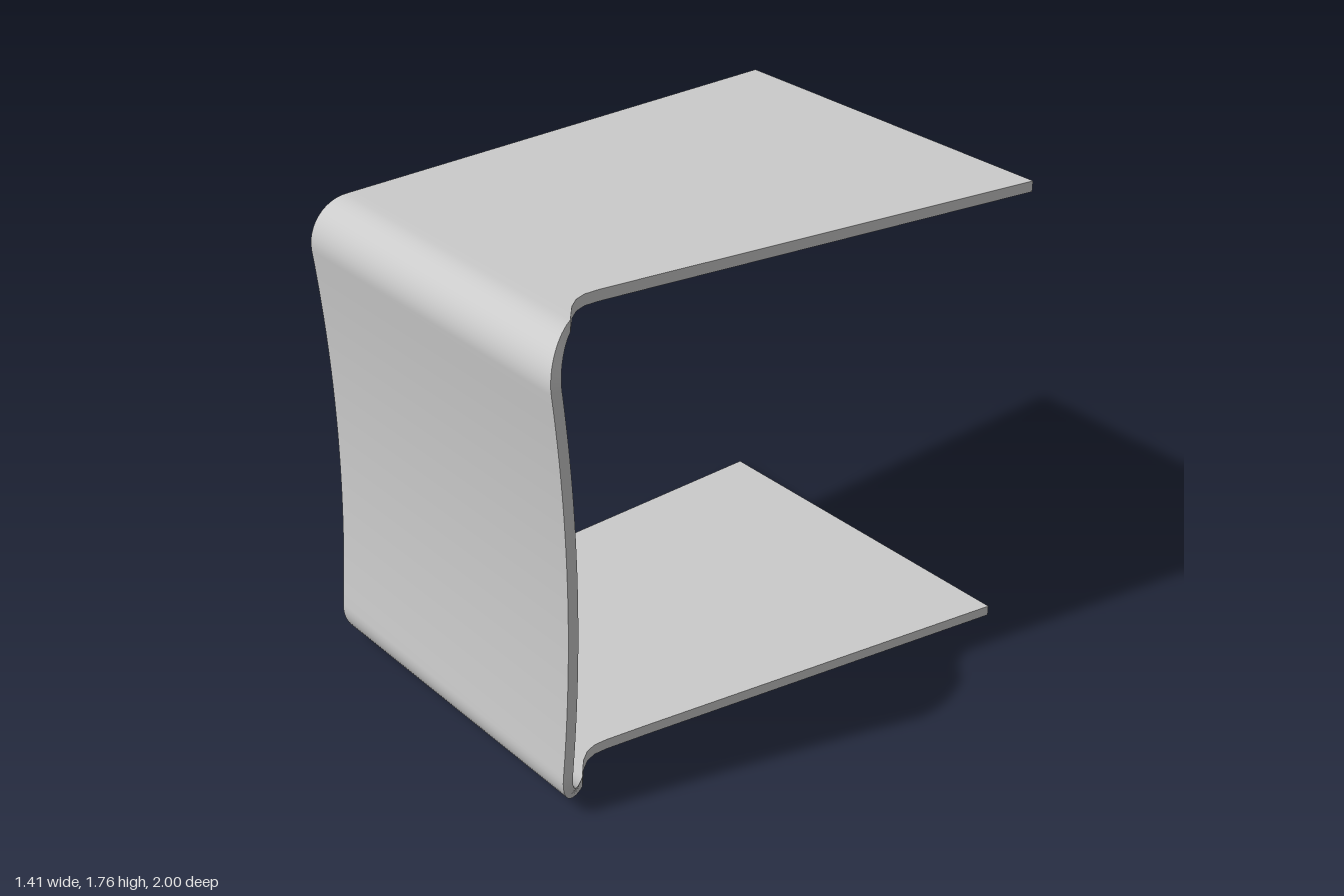
import * as THREE from 'three';

const HEIGHT = 1.765, HALF_T = 0.02, LEFT = -0.71;
const MID = HEIGHT / 2, BEND_R = 0.13, BEND_Z = 0.85;

// Waisted right edge of a shelf, as [z, x] from behind the waist to the bend
const WAIST = [[0.5, 0.443], [0.6, 0.426], [0.66, 0.416], [0.71, 0.413],
  [0.75, 0.425], [0.79, 0.455], [0.82, 0.49]];

// Upper half of the centre line: stations of z, y, right edge x and outward normal
function upperHalf(backZ) {
  const list = [[backZ, 0.705], ...WAIST].map(([z, x]) => (
    { z, y: HEIGHT - HALF_T, x, nz: 0, ny: 1 }));
  const bendY = HEIGHT - HALF_T - BEND_R;
  // rounded bend, turning slightly past vertical
  for (let i = 0; i <= 12; i++) {
    const t = i / 12, a = THREE.MathUtils.degToRad(90 - 96.3 * t);
    list.push({
      z: BEND_Z + BEND_R * Math.cos(a), y: bendY + BEND_R * Math.sin(a),
      x: 0.525 + 0.095 * Math.sin(t * Math.PI / 2), nz: Math.cos(a), ny: Math.sin(a),
    });
  }
  // inward-bowed front wall down to mid height
  const top = list[list.length - 1], rise = top.y - MID, bow = top.z - 0.94;
  for (let i = 1; i <= 12; i++) {
    const s = 1 - i / 12, slope = 2 * bow * s / rise, len = Math.hypot(1, slope);
    list.push({ z: 0.94 + bow * s * s, y: MID + rise * s, x: 0.62, nz: 1 / len, ny: -slope / len });
  }
  return list;
}

// Smooth ribbon between two rows of points
function strip(p, q) {
  const pos = [], index = [];
  p.forEach((a, i) => {
    pos.push(...a, ...q[i]);
    if (i) {
      const k = 2 * i;
      index.push(k - 2, k, k + 1, k - 2, k + 1, k - 1);
    }
  });
  const g = new THREE.BufferGeometry();
  g.setAttribute('position', new THREE.Float32BufferAttribute(pos, 3));
  g.setIndex(index);
  g.computeVertexNormals();
  return g;
}

export function createModel() {
  const group = new THREE.Group();
  group.name = 'bentSheetTable';
  const material = new THREE.MeshStandardMaterial({ color: 0xcccccc });
  const add = (name, geometry) => {
    const mesh = new THREE.Mesh(geometry, material);
    mesh.name = name;
    group.add(mesh);
  };

  // Mirror the upper half for the base, whose shelf is a little shorter
  const lower = upperHalf(-0.955).slice(0, -1).reverse()
    .map((s) => ({ ...s, y: HEIGHT - s.y, ny: -s.ny }));
  const path = [...upperHalf(-1), ...lower];

  // Four long edges of the sheet
  const edge = (side, right) => path.map((s) => [
    right ? s.x : LEFT, s.y + side * HALF_T * s.ny, s.z + side * HALF_T * s.nz]);
  const outL = edge(1, false), outR = edge(1, true);
  const inR = edge(-1, true), inL = edge(-1, false);

  add('outerFace', strip(outL, outR));
  add('leftEdge', strip(outR, inR));
  add('innerFace', strip(inR, inL));
  add('rightEdge', strip(inL, outL));

  // Back ends of the top and base
  const n = path.length - 1;
  add('topBackEdge', strip([outL[0], outR[0]], [inL[0], inR[0]]));
  add('baseBackEdge', strip([outR[n], outL[n]], [inR[n], inL[n]]));
  // Orient the end faces outward
  for (const name of ['topBackEdge', 'baseBackEdge']) {
    const g = group.getObjectByName(name).geometry;
    if (g.attributes.normal.getZ(0) > 0) {
      g.setIndex([...g.index.array].reverse());
      g.computeVertexNormals();
    }
  }
  return group;
}
